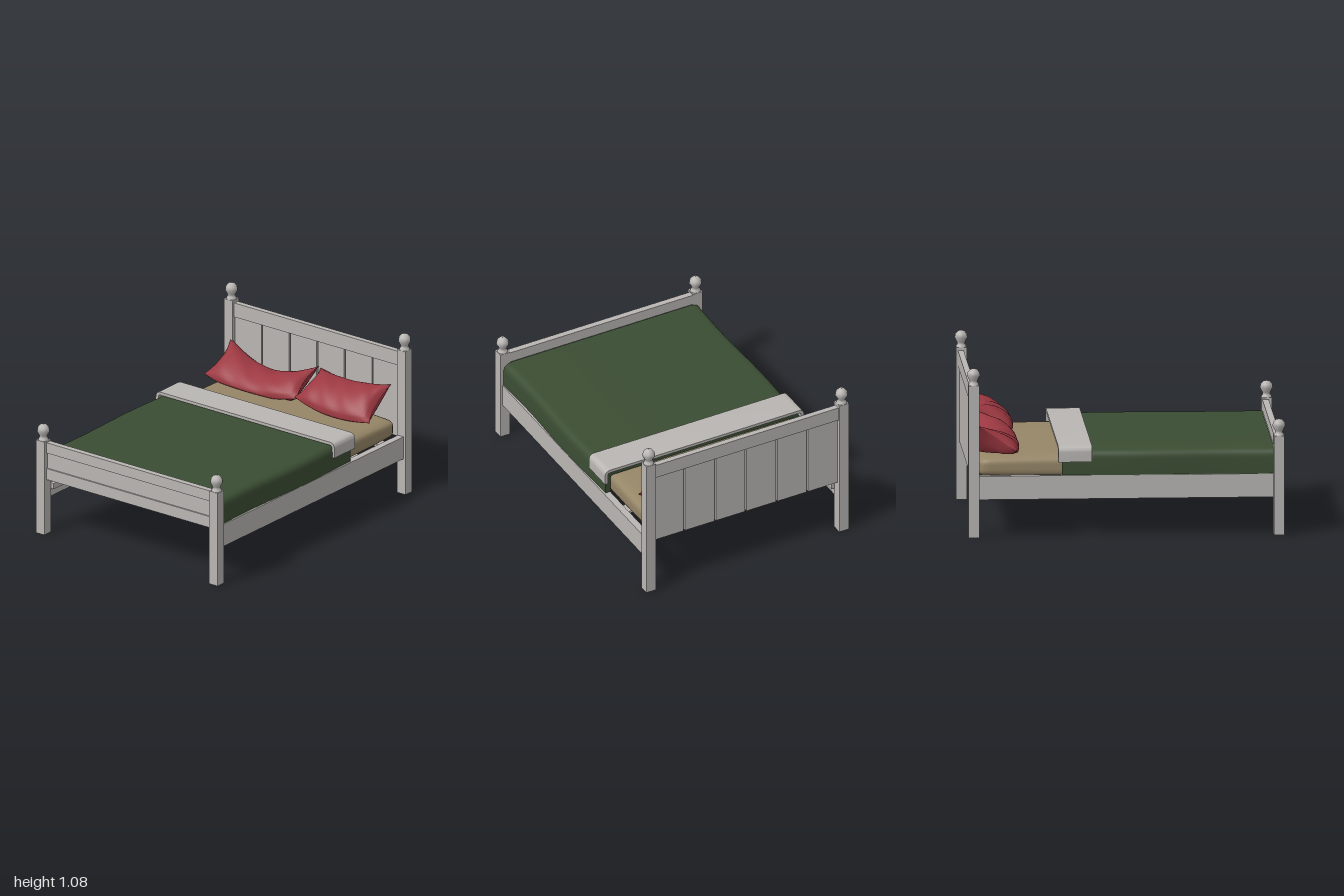
import * as THREE from 'three';
import { mergeVertices, toCreasedNormals } from 'three/addons/utils/BufferGeometryUtils.js';

const mat = (name, color) => {
  const m = new THREE.MeshStandardMaterial({ color });
  m.name = name;
  return m;
};

export function createModel() {
  const bed = new THREE.Group();
  bed.name = 'bed';
  const paint = mat('greyPaint', 0xb9b6b3);
  const green = mat('greenBlanket', 0x3b4d33);
  const tan = mat('tanMattress', 0x968667);
  const red = mat('redPillow', 0x9c3841);

  const add = (name, geo, material, x = 0, y = 0, z = 0) => {
    const m = new THREE.Mesh(geo, material);
    m.name = name;
    m.position.set(x, y, z);
    bed.add(m);
    return m;
  };
  // Box given by its limits on each axis
  const block = (name, x0, x1, y0, y1, z0, z1) =>
    add(name, new THREE.BoxGeometry(x1 - x0, y1 - y0, z1 - z0), paint,
      (x0 + x1) / 2, (y0 + y1) / 2, (z0 + z1) / 2);
  // Moves every vertex by a rule, then smooths the shared normals
  const reshape = (geo, rule) => {
    const p = geo.attributes.position, v = new THREE.Vector3();
    for (let i = 0; i < p.count; i++) {
      rule(v.fromBufferAttribute(p, i));
      p.setXYZ(i, v.x, v.y, v.z);
    }
    geo.deleteAttribute('uv');
    geo.deleteAttribute('normal');
    const g = mergeVertices(geo, 1e-5);
    g.computeVertexNormals();
    return g;
  };

  // Posts with turned finials
  const finial = new THREE.LatheGeometry(
    [[0.034, 0], [0.03, 0.012], [0.023, 0.02], [0.026, 0.032], [0.041, 0.06],
      [0.037, 0.083], [0.02, 0.102], [0, 0.106]].map(([x, y]) => new THREE.Vector2(x, y)), 10);
  for (const s of [-1, 1]) {
    for (const [name, top, z] of [['footPost', 0.63, 0.965], ['headPost', 0.97, -0.958]]) {
      block(name, s * 0.69 - 0.034, s * 0.69 + 0.034, 0, top, z - 0.034, z + 0.034);
      add(name + 'Finial', finial, paint, s * 0.69, top, z);
    }
    // Side rails and the ledgers that carry the slats
    block('sideRail', s * 0.685 - 0.023, s * 0.685 + 0.023, 0.24, 0.39, -0.926, 0.932);
    block('slatLedger', s * 0.649 - 0.014, s * 0.649 + 0.014, 0.295, 0.335, -0.926, 0.932);
  }

  // Footboard
  block('footboardTopRail', -0.657, 0.657, 0.55, 0.62, 0.937, 0.977);
  block('footboardPanel', -0.657, 0.657, 0.445, 0.55, 0.946, 0.968);
  block('footboardBottomRail', -0.657, 0.657, 0.37, 0.445, 0.937, 0.977);

  // Headboard: rail over six spaced planks
  block('headboardTopRail', -0.657, 0.657, 0.855, 0.95, -0.98, -0.943);
  for (let i = 0; i < 6; i++) {
    const x = (i - 2.5) * 0.22;
    block('headboardPlank', x - 0.105, x + 0.105, 0.37, 0.858, -0.97, -0.95);
  }

  // Slats
  for (let i = 0; i < 7; i++) {
    const z = -0.835 + i * 0.277;
    block('slat', -0.66, 0.66, 0.335, 0.35, z - 0.038, z + 0.038);
  }

  // Mattress: rounded block, slightly crowned above and below
  const size = new THREE.Vector3(0.65, 0.083, 0.925), r = 0.05;
  const inner = size.clone().subScalar(r), core = new THREE.Vector3();
  add('mattress', reshape(new THREE.BoxGeometry(1.3, 0.166, 1.85, 36, 8, 48), v => {
    core.copy(v).clamp(inner.clone().negate(), inner);
    v.sub(core).setLength(r).add(core);
    v.y *= 1 - 0.2 * (v.x / 0.65) ** 4 - 0.15 * (v.z / 0.925) ** 4;
  }), tan, 0, 0.434, 0);

  // Cloth draped over the mattress: an arch run along z
  const drape = (w, top, bottom, rad, t, z0, z1, wave) => {
    const s = new THREE.Shape();
    s.moveTo(-w, bottom);
    s.lineTo(-w, top - rad);
    s.quadraticCurveTo(-w, top, -w + rad, top);
    s.lineTo(w - rad, top);
    s.quadraticCurveTo(w, top, w, top - rad);
    s.lineTo(w, bottom);
    s.lineTo(w - t, bottom);
    s.lineTo(w - t, top - rad);
    s.quadraticCurveTo(w - t, top - t, w - rad, top - t);
    s.lineTo(-w + rad, top - t);
    s.quadraticCurveTo(-w + t, top - t, -w + t, top - rad);
    s.lineTo(-w + t, bottom);
    const g = new THREE.ExtrudeGeometry(s,
      { depth: z1 - z0, steps: wave ? 24 : 1, bevelEnabled: false, curveSegments: 8 });
    g.translate(0, 0, z0);
    const p = g.attributes.position;
    for (let i = 0; i < p.count; i++)
      p.setX(i, p.getX(i) * (1 + wave * Math.sin(p.getZ(i) * 6 + 1)));
    return toCreasedNormals(g, 0.7);
  };
  add('blanket', drape(0.7, 0.55, 0.388, 0.06, 0.035, -0.4, 0.935, 0.009), green);
  add('foldedSheet', drape(0.712, 0.575, 0.475, 0.04, 0.02, -0.425, -0.212, 0), paint);

  // Pillows: two puffed sheets leaning on the headboard, pinched at the corners
  const pillow = (name, cx, w, sag, lift) => add(name,
    reshape(new THREE.BoxGeometry(2, 2, 2, 32, 20, 1), q => {
      const { x: u, y: v, z: side } = q;
      const mu = 1 - u * u, mv = 1 - v * v;
      const puff = Math.pow((1 - u ** 4) * mv, 0.6);
      const crease = 0.004 * Math.sin(u * 11 + v * 5) * puff;
      const t = side > 0 ? 0.075 * puff + crease + 0.003 : -0.12 * puff - 0.003;
      const low = Math.max(0, -v) * mu;
      q.x = cx + w * u * (1 - 0.09 * mv) * (1 - 0.03 * v);
      q.y = 0.625 + (0.075 + lift * u) * v + t * 0.83 - sag * mu * (v + 1.5) / 2 - 0.02 * low;
      q.z = -0.812 - 0.122 * v + t * 0.55 + 0.035 * low;
      q.y = Math.max(q.y, 0.518 + 0.004 * (side + 1));
      q.z = Math.max(q.z, -0.946);
    }), red);
  pillow('rightPillow', -0.325, 0.36, 0.1, -0.008);
  pillow('leftPillow', 0.32, 0.288, 0.03, 0.014);

  return bed;
}
